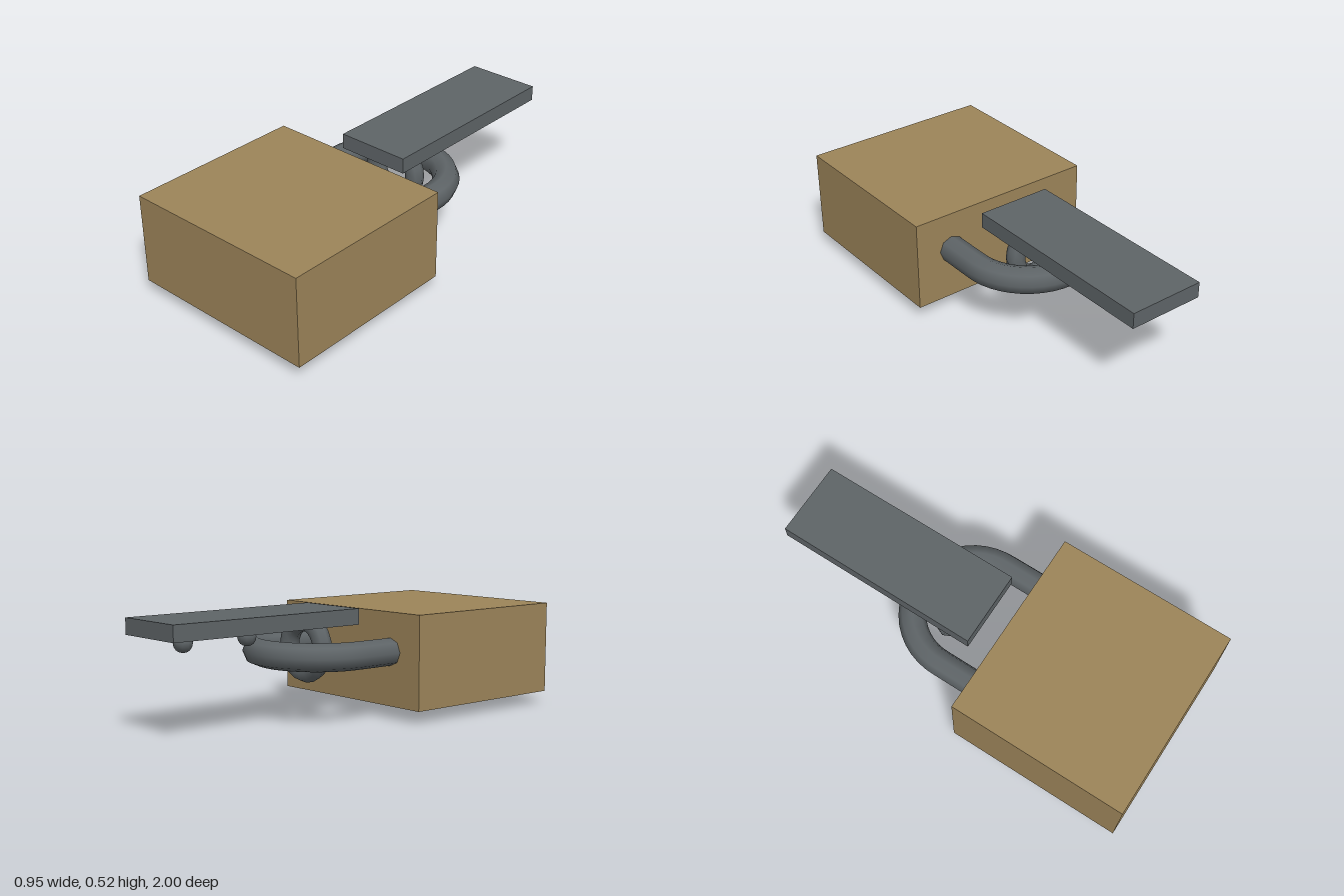
import * as THREE from 'three';

const material = (name, color) => {
  const m = new THREE.MeshStandardMaterial({ color });
  m.name = name;
  return m;
};

// U-shaped bar: two straight legs joined by a half circle, lying flat
class ShackleCurve extends THREE.Curve {
  constructor(radius, legEnd, arcCentre) {
    super();
    Object.assign(this, { radius, legEnd, arcCentre });
  }
  getPoint(t, target = new THREE.Vector3()) {
    const leg = this.legEnd - this.arcCentre;
    const arc = Math.PI * this.radius;
    const s = t * (2 * leg + arc);
    if (s < leg) return target.set(this.radius, 0, this.legEnd - s);
    if (s > leg + arc) return target.set(-this.radius, 0, this.arcCentre + s - leg - arc);
    const a = (s - leg) / this.radius;
    return target.set(this.radius * Math.cos(a), 0, this.arcCentre - this.radius * Math.sin(a));
  }
}

export function createModel() {
  const group = new THREE.Group();
  group.name = 'padlock';
  const brass = material('brass', 0x9c8459);
  const steel = material('steel', 0x5e6467);
  const black = material('black', 0x17171b);

  const add = (name, geometry, mat, x, y, z) => {
    const mesh = new THREE.Mesh(geometry, mat);
    mesh.name = name;
    mesh.position.set(x, y, z);
    group.add(mesh);
    return mesh;
  };
  // Box given by its half width and its y and z ranges
  const block = (name, mat, halfX, y0, y1, z0, z1) =>
    add(name, new THREE.BoxGeometry(2 * halfX, y1 - y0, z1 - z0), mat, 0, (y0 + y1) / 2, (z0 + z1) / 2);

  // Lock body with the key plate underneath
  block('body', brass, 0.475, 0.06, 0.5, 0.12, 1);
  block('keyPlate', steel, 0.17, 0.022, 0.06, 0.345, 0.78);

  // Keyhole: flattened round opening and slot
  const round = new THREE.SphereGeometry(0.066, 16, 10);
  round.scale(1, 0.19, 1);
  add('keyholeRound', round, black, 0, 0.0125, 0.5);
  block('keyholeSlot', black, 0.025, 0.006, 0.024, 0.5, 0.7);

  // Shackle
  const path = new ShackleCurve(0.285, 0.15, -0.08);
  add('shackle', new THREE.TubeGeometry(path, 32, 0.065, 8, false), steel, 0, 0.315, 0);

  // Hasp strap with staple ring and rivets
  block('haspStrap', steel, 0.185, 0.44, 0.515, -1, 0.015);
  add('stapleRing', new THREE.TorusGeometry(0.12, 0.045, 8, 20), steel, 0, 0.33, -0.15);
  for (const z of [-0.49, -0.83]) {
    add('rivet', new THREE.SphereGeometry(0.045, 10, 8), steel, 0, 0.41, z);
  }
  return group;
}
